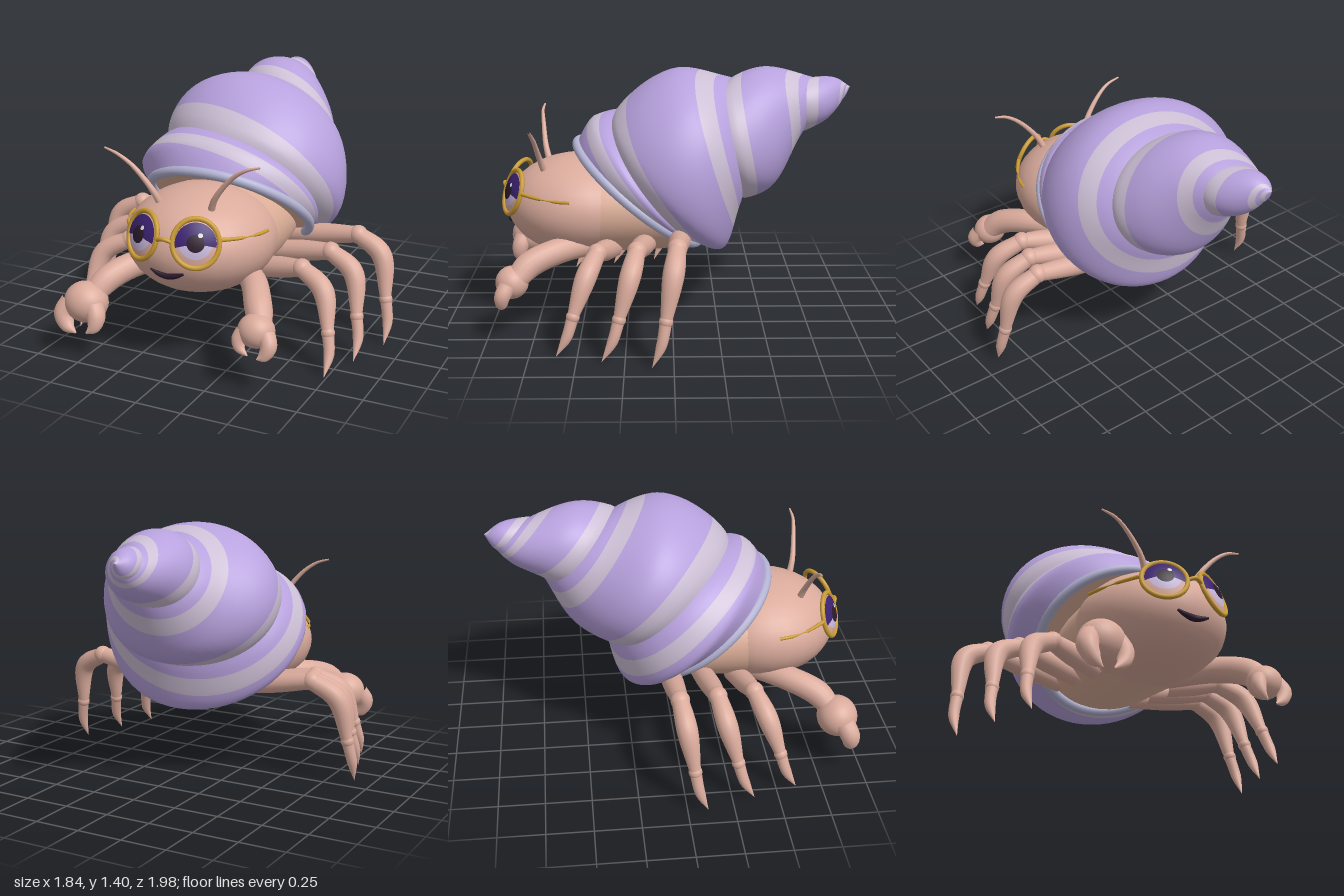
import * as THREE from 'three';

const V = (x, y, z) => new THREE.Vector3(x, y, z);
const paint = (name, color, side = THREE.FrontSide) => {
  const m = new THREE.MeshStandardMaterial({ color, side });
  m.name = name;
  return m;
};

export function createModel() {
  const root = new THREE.Group();
  root.name = 'hermitCrab';
  const skin = paint('skin', 0xdaab9c);
  const belly = paint('belly', 0xdcae98);
  const lilac = paint('lilac', 0xb8a2de, THREE.DoubleSide);
  const pale = paint('paleLilac', 0xcdc0d6, THREE.DoubleSide);
  const rimBlue = paint('rimBlue', 0xb3b2d2);
  const gold = paint('gold', 0xc99a32);
  const violet = paint('violet', 0x3c2270);
  const dark = paint('dark', 0x2c1a2c);
  const white = paint('white', 0xf4f0f8);
  const eyeShine = paint('eyeShine', 0xcbbbe0);

  const add = (name, geo, mat, parent = root) => {
    const m = new THREE.Mesh(geo, mat);
    m.name = name;
    parent.add(m);
    return m;
  };
  const ball = (name, p, r, mat, parent = root, s = [1, 1, 1]) => {
    const m = add(name, new THREE.SphereGeometry(r, 28, 20), mat, parent);
    m.position.copy(p);
    m.scale.set(...s);
    return m;
  };
  // Tube whose radius follows a list of values along a smooth path
  const limb = (name, pts, radii, mat, parent = root, steps = 24, sides = 16) => {
    const path = new THREE.CatmullRomCurve3(pts);
    const size = new THREE.CatmullRomCurve3(radii.map(r => V(r, 0, 0)));
    const geo = new THREE.TubeGeometry(path, steps, 1, sides, false);
    const pos = geo.attributes.position, nor = geo.attributes.normal;
    for (let i = 0, k = 0; i <= steps; i++) {
      const c = path.getPointAt(i / steps);
      const r = Math.max(0.001, size.getPoint(path.getUtoTmapping(i / steps)).x);
      for (let j = 0; j <= sides; j++, k++) {
        pos.setXYZ(k, c.x + nor.getX(k) * r, c.y + nor.getY(k) * r, c.z + nor.getZ(k) * r);
      }
    }
    return add(name, geo, mat, parent);
  };

  // Shell envelope: top edge (half width, y, z) and bottom edge (centre x, y, z)
  const topEdge = new THREE.CatmullRomCurve3([
    V(0.455, 0.98, 0.53), V(0.5, 1.14, 0.32), V(0.45, 1.33, -0.03), V(0.31, 1.335, -0.32),
    V(0.2, 1.37, -0.55), V(0.12, 1.335, -0.78), V(0.06, 1.32, -0.92), V(0, 1.28, -1)]);
  const lowEdge = new THREE.CatmullRomCurve3([
    V(0, 0.42, -0.15), V(0, 0.45, -0.25), V(0, 0.66, -0.38), V(0.01, 0.8, -0.555),
    V(-0.02, 1.03, -0.72), V(-0.04, 1.13, -0.87), V(-0.06, 1.2, -0.95), V(-0.07, 1.28, -1)]);
  const END = 3.5;
  const shellPoint = (t, angle, bulge) => {
    t = THREE.MathUtils.clamp(t, 0, END);
    const a = topEdge.getPoint(t / END), b = lowEdge.getPoint(t / END);
    const k = 1 + bulge * Math.min(1, t / 0.3), c = Math.cos(angle) * k;
    return V(b.x + a.x * k * Math.sin(angle),
      (a.y + b.y) / 2 + (b.y - a.y) / 2 * c, (a.z + b.z) / 2 + (b.z - a.z) / 2 * c);
  };

  // Spiral whorls: p winds around the axis, v runs across one whorl, stripes follow v
  const bands = [[0, 0.18, 4, 1], [0.18, 0.73, 10, 0], [0.73, 0.89, 4, 1], [0.89, 1, 3, 0]];
  const vs = [0];
  bands.forEach(([a, b, n]) => { for (let i = 1; i <= n; i++) vs.push(a + (b - a) * i / n); });
  const turns = 288, row = vs.length, verts = [], faces = [];
  for (let i = 0; i <= turns; i++) {
    const p = -1 + (END + 1) * i / turns;
    for (const v of vs) {
      const bulge = 0.17 * Math.pow(Math.max(0, Math.sin(Math.PI * v)), 0.7);
      verts.push(...shellPoint(p + v, p * Math.PI * 2, bulge).toArray());
    }
  }
  const shellGeo = new THREE.BufferGeometry();
  let col = 0;
  for (const [, , n, mat] of bands) {
    const start = faces.length;
    for (let i = 0; i < turns; i++) {
      for (let j = col; j < col + n; j++) {
        const a = i * row + j;
        faces.push(a, a + 1, a + row, a + 1, a + row + 1, a + row);
      }
    }
    shellGeo.addGroup(start, faces.length - start, mat);
    col += n;
  }
  shellGeo.setAttribute('position', new THREE.Float32BufferAttribute(verts, 3));
  shellGeo.setIndex(faces);
  shellGeo.computeVertexNormals();
  add('shell', shellGeo, [lilac, pale]);

  // Rounded lip around the opening
  const lip = [];
  for (let i = 0; i < 24; i++) lip.push(shellPoint(0, i / 24 * Math.PI * 2, 0));
  add('shellLip', new THREE.TubeGeometry(new THREE.CatmullRomCurve3(lip, true), 96, 0.027, 12, true), rimBlue);

  // Soft plug just inside the opening
  const plugPts = [0.2, 0.67, 0.16], plugIdx = [];
  for (let i = 0; i <= 40; i++) {
    plugPts.push(...shellPoint(0.06, i / 40 * Math.PI * 2, -0.01).toArray());
    if (i < 40) plugIdx.push(0, i + 1, i + 2);
  }
  plugPts[0] = 0;
  const plug = new THREE.BufferGeometry();
  plug.setAttribute('position', new THREE.Float32BufferAttribute(plugPts, 3));
  plug.setIndex(plugIdx);
  plug.computeVertexNormals();
  const plugMat = belly;
  plugMat.side = THREE.DoubleSide;
  add('shellPlug', plug, plugMat);

  // Head and body
  ball('head', V(0, 0.635, 0.52), 1, skin, root, [0.4, 0.28, 0.41]);
  limb('body', [V(0, 0.635, 0.55), V(0, 0.63, 0.25), V(0, 0.62, 0), V(0, 0.66, -0.2)],
    [0.275, 0.262, 0.235, 0.16], belly, root, 24, 40).scale.x = 1.4;

  // Mouth
  limb('mouth', [V(-0.095, 0.567, 0.905), V(-0.05, 0.55, 0.908), V(0, 0.543, 0.906), V(0.05, 0.55, 0.908), V(0.095, 0.567, 0.905)],
    [0.006, 0.014, 0.018, 0.014, 0.006], dark);

  // Domed eye layer, optionally only a sector
  const R = 0.112;
  const eyeLayer = (name, mat, r, x, y, layer, parent, from = 0, len = Math.PI * 2) => {
    const geo = new THREE.RingGeometry(0.0005, r, 36, 6, from, len).translate(x, y, 0);
    const pos = geo.attributes.position;
    for (let i = 0; i < pos.count; i++) {
      const d = Math.hypot(pos.getX(i), pos.getY(i)) / R;
      pos.setZ(i, 0.025 * (1 - d * d) + layer * 0.003);
    }
    geo.computeVertexNormals();
    add(name, geo, mat, parent);
  };

  for (const s of [1, -1]) {
    const side = s > 0 ? 'left' : 'right';
    const P = (x, y, z) => V(s * x, y, z);

    // Eye and spectacle frame
    const eye = new THREE.Group();
    eye.name = side + 'Eye';
    eye.rotation.order = 'YXZ';
    eye.rotation.set(-0.3, s * 0.45, 0);
    eye.position.copy(P(0.15, 0.73, 0.88));
    root.add(eye);
    eyeLayer('eyeBase', skin, R, 0, 0, 0, eye);
    eyeLayer('eyeShine', eyeShine, 0.085, 0, 0.005, 1, eye, Math.PI, Math.PI);
    eyeLayer('iris', violet, 0.104, 0, 0, 2, eye, -0.2, Math.PI + 0.4);
    eyeLayer('pupil', dark, 0.045, 0, 0, 3, eye);
    eyeLayer('glint', white, 0.012, 0.025, 0.04, 4, eye);
    const frame = add('spectacleRing', new THREE.TorusGeometry(0.117, 0.013, 12, 48), gold, eye);
    frame.scale.y = 1.05;
    limb(side + 'Temple', [P(0.26, 0.745, 0.82), P(0.33, 0.735, 0.72), P(0.375, 0.73, 0.62), P(0.392, 0.73, 0.55)],
      [0.011, 0.009, 0.009, 0.009], gold);

    // Antenna
    limb(side + 'Antenna', [P(0.14, 0.83, 0.7), P(0.18, 0.92, 0.725), P(0.28, 1.04, 0.745), P(0.36, 1.095, 0.755), P(0.44, 1.12, 0.75)],
      [0.02, 0.016, 0.012, 0.009, 0.005], skin);

    // Walking legs: hip, knuckle, arch, joint, tip
    const legs = [
      ['front', P(0.22, 0.43, 0.33), P(0.52, 0.49, 0.4), P(0.66, 0.41, 0.45), P(0.72, 0.21, 0.52), P(0.737, 0, 0.61)],
      ['middle', P(0.22, 0.46, 0.14), P(0.6, 0.525, 0.19), P(0.74, 0.44, 0.22), P(0.79, 0.22, 0.28), P(0.81, 0, 0.37)],
      ['rear', P(0.22, 0.5, -0.05), P(0.68, 0.565, -0.02), P(0.82, 0.48, 0), P(0.87, 0.24, 0.04), P(0.89, 0, 0.11)]];
    for (const [which, hip, knuckle, arch, joint, tip] of legs) {
      const leg = new THREE.Group();
      leg.name = side + which[0].toUpperCase() + which.slice(1) + 'Leg';
      root.add(leg);
      limb('hip', [hip, hip.clone().lerp(knuckle, 0.5), knuckle], [0.055, 0.058, 0.045], skin, leg);
      ball('knuckle', knuckle, 0.052, skin, leg);
      limb('shin', [knuckle, arch, joint], [0.046, 0.056, 0.03], skin, leg);
      ball('joint', joint, 0.036, skin, leg);
      const bend = joint.clone().lerp(tip, 0.5).add(P(0.012, 0, -0.012));
      limb('point', [joint, bend, tip], [0.032, 0.028, 0.001], skin, leg);
    }

    // Claw arm; the right claw is the larger one
    const k = s > 0 ? 0.86 : 1.08;
    const arm = new THREE.Group();
    arm.name = side + 'ClawArm';
    root.add(arm);
    limb('arm', [P(0.18, 0.45, 0.4), P(0.35, 0.45, 0.62), P(0.44, 0.4, 0.77), P(0.48, 0.34, 0.83)],
      [0.06, 0.07, 0.072, 0.06], skin, arm);
    const claw = new THREE.Group();
    claw.name = 'claw';
    claw.position.copy(s > 0 ? V(0.47, 0.315, 0.86) : V(-0.515, 0.295, 0.87));
    claw.scale.setScalar(k);
    arm.add(claw);
    ball('palm', V(0, 0, 0), 0.112, skin, claw, [1, 0.92, 0.92]);
    limb('outerFinger', [P(0.07, 0, 0.02), P(0.1, -0.06, 0.05), P(0.075, -0.12, 0.06), P(0.03, -0.15, 0.06)],
      [0.055, 0.05, 0.036, 0.004], skin, claw);
    limb('innerFinger', [P(-0.06, 0, 0.03), P(-0.085, -0.05, 0.05), P(-0.075, -0.1, 0.06), P(-0.03, -0.14, 0.06)],
      [0.052, 0.046, 0.032, 0.004], skin, claw);
  }

  // Spectacle bridge
  limb('spectacleBridge', [V(-0.045, 0.735, 0.93), V(0, 0.75, 0.945), V(0.045, 0.735, 0.93)], [0.011, 0.011, 0.011], gold);
  return root;
}
